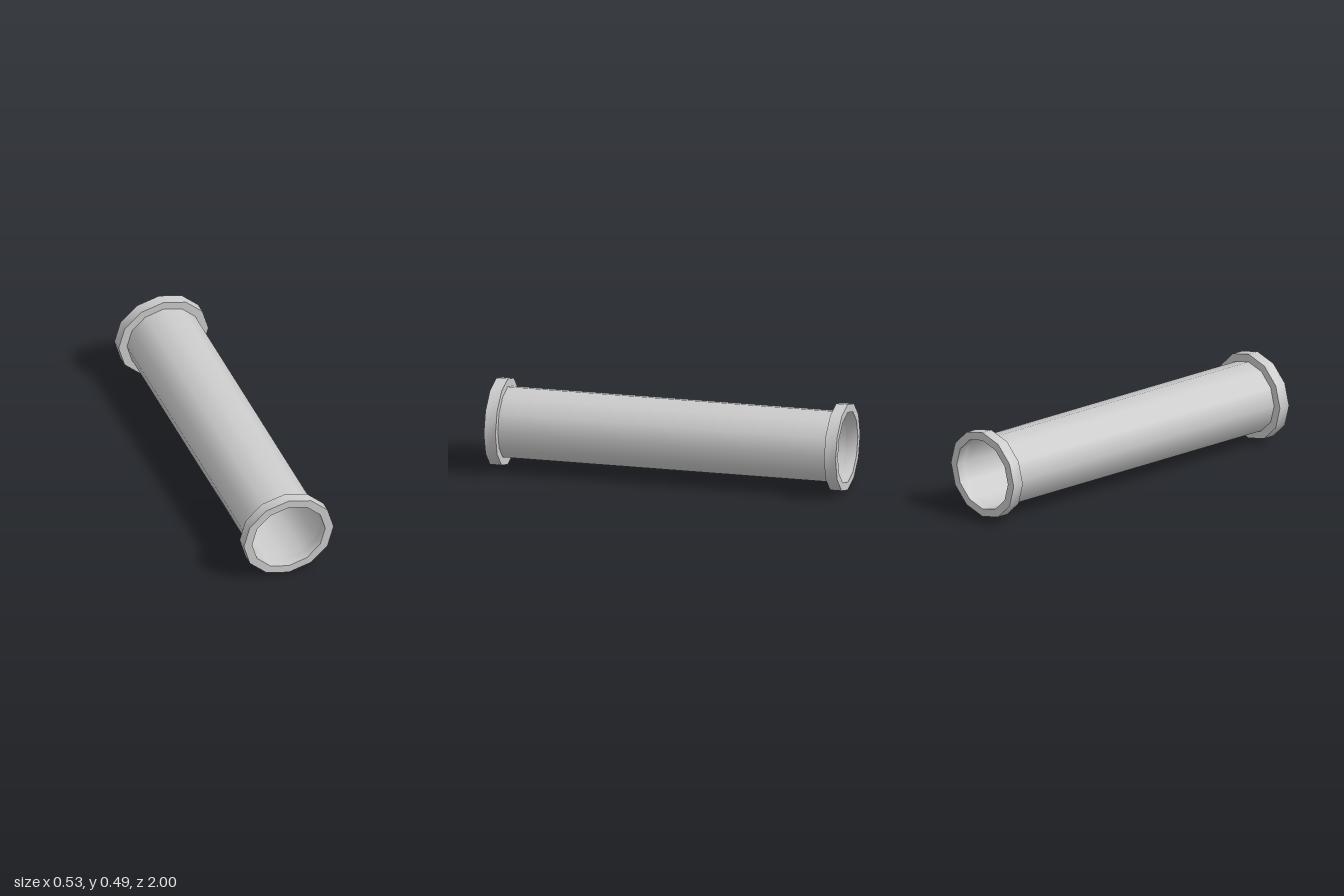
import * as THREE from 'three';
import { toCreasedNormals } from 'three/addons/utils/BufferGeometryUtils.js';

const SIDES = 12;
const RX = 0.215, RY = 0.2;            // pipe half-width and half-height
const FLANGE_RX = 0.264, FLANGE_RY = 0.245;
const HALF = 1, FLANGE_DEPTH = 0.066;

// Flange ring: rectangular section turned around z, with oval outer and inner outlines
function flangeGeometry() {
  const h = FLANGE_DEPTH / 2;
  const profile = [[2, -h], [2, h], [1, h], [1, -h], [2, -h]].map(([r, y]) => new THREE.Vector2(r, y));
  const geometry = new THREE.LatheGeometry(profile, SIDES).rotateX(Math.PI / 2);
  const p = geometry.attributes.position;
  for (let i = 0; i < p.count; i++) {
    const outer = Math.hypot(p.getX(i), p.getY(i)) > 1.5;
    const sx = outer ? FLANGE_RX / 2 : RX;
    const sy = outer ? FLANGE_RY / 2 : RY;
    p.setXY(i, p.getX(i) * sx, p.getY(i) * sy);
  }
  return toCreasedNormals(geometry, Math.PI / 4);
}

export function createModel() {
  const model = new THREE.Group();
  model.name = 'flangedPipe';
  const material = new THREE.MeshStandardMaterial({ color: 0xcccccc, side: THREE.DoubleSide });

  // Thin open pipe running between the flanges
  const length = 2 * (HALF - FLANGE_DEPTH);
  const pipeGeometry = new THREE.CylinderGeometry(1, 1, length, SIDES, 1, true)
    .rotateX(Math.PI / 2)
    .scale(RX, RY, 1);
  const pipe = new THREE.Mesh(pipeGeometry, material);
  pipe.name = 'pipe';
  pipe.position.y = FLANGE_RY;
  model.add(pipe);

  // Matching flanges at both ends
  const ring = flangeGeometry();
  for (const [name, side] of [['frontFlange', 1], ['backFlange', -1]]) {
    const flange = new THREE.Mesh(ring, material);
    flange.name = name;
    flange.position.set(0, FLANGE_RY, side * (HALF - FLANGE_DEPTH / 2));
    model.add(flange);
  }
  return model;
}
